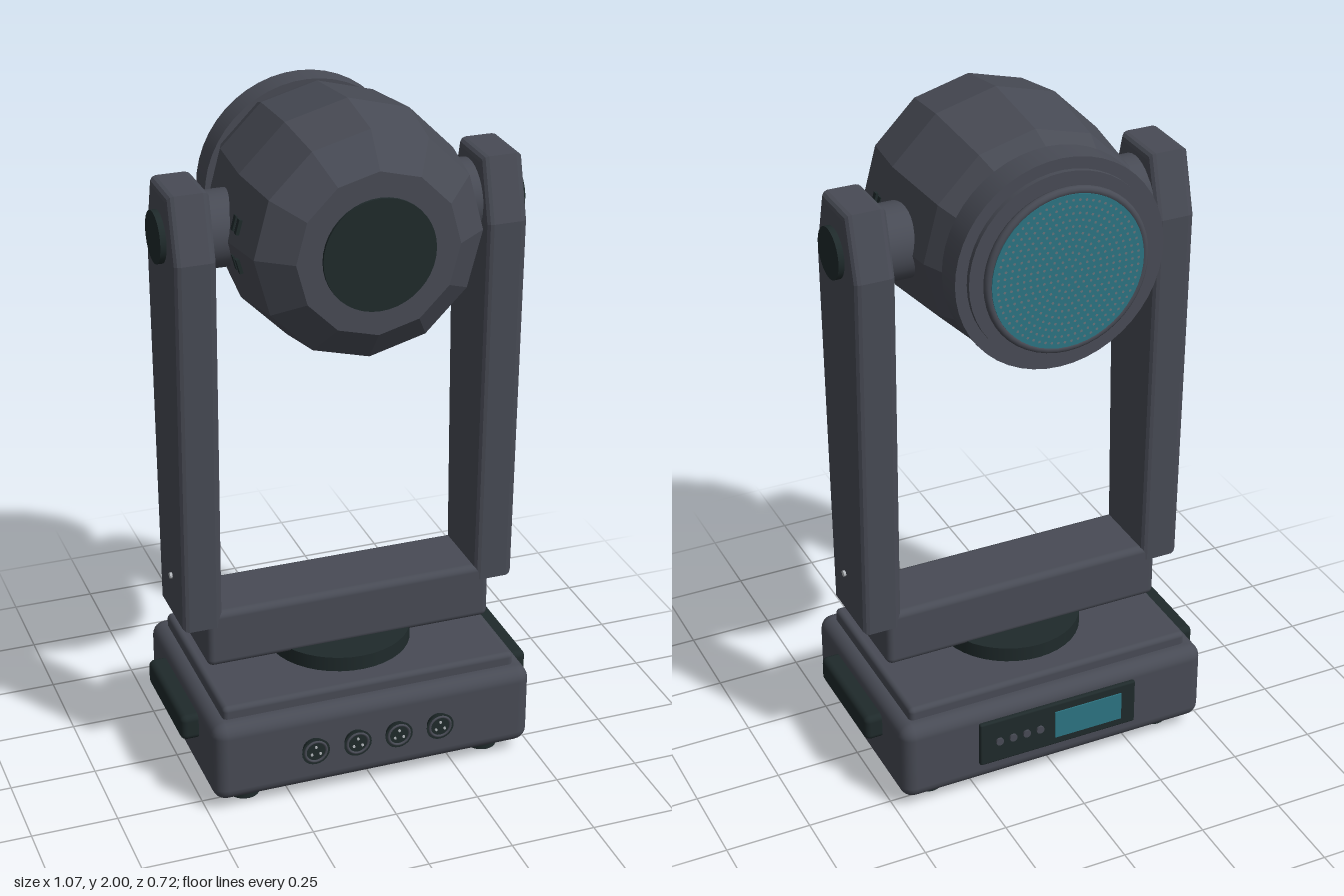
import * as THREE from 'three';
import { RoundedBoxGeometry } from 'three/addons/geometries/RoundedBoxGeometry.js';
import { mergeGeometries } from 'three/addons/utils/BufferGeometryUtils.js';

const material = (name, color) => {
  const m = new THREE.MeshStandardMaterial({ color });
  m.name = name;
  return m;
};

export function createModel() {
  const body = material('charcoal housing', 0x484b55);
  const dark = material('dark rubber', 0x1f2a2b);
  const teal = material('teal glass', 0x2c7482);
  const bead = material('lens bead grey', 0x66747c);
  const steel = material('light steel', 0xb4b8bc);

  const root = new THREE.Group();
  root.name = 'movingHeadLight';
  const group = (name) => {
    const g = new THREE.Group();
    g.name = name;
    root.add(g);
    return g;
  };
  const add = (parent, name, geo, mat, x = 0, y = 0, z = 0) => {
    const m = new THREE.Mesh(geo, mat);
    m.name = name;
    m.position.set(x, y, z);
    parent.add(m);
    return m;
  };
  const box = (w, h, d, r) => new RoundedBoxGeometry(w, h, d, 3, r);
  const cylY = (r, h, n = 32) => new THREE.CylinderGeometry(r, r, h, n);
  const cylX = (r, h, n = 32) => cylY(r, h, n).rotateZ(Math.PI / 2);
  const cylZ = (r, h, n = 32, r2 = r) =>
    new THREE.CylinderGeometry(r, r2, h, n).rotateX(Math.PI / 2);

  // Base with stepped lid, feet and side handles
  const base = group('base');
  add(base, 'baseBody', box(0.966, 0.25, 0.655, 0.04), body, 0, 0.16, 0.008);
  add(base, 'baseLid', box(0.885, 0.07, 0.565, 0.015), body, 0, 0.287, 0.008);
  add(base, 'turntable', cylY(0.212, 0.05, 40), dark, 0, 0.342, 0.012);
  for (const x of [-0.37, 0.37]) {
    for (const z of [-0.215, 0.237]) add(base, 'foot', cylY(0.045, 0.045, 24), dark, x, 0.0225, z);
  }
  for (const s of [-1, 1]) {
    add(base, 'sideHandle', box(0.065, 0.08, 0.345, 0.018), dark, s * 0.502, 0.204, 0.008);
  }

  // Row of flared sockets on the front, each with three pins
  for (const x of [-0.19, -0.063, 0.063, 0.19]) {
    const socket = new THREE.Group();
    socket.name = 'socket';
    socket.position.set(x, 0.164, 0.335);
    base.add(socket);
    add(socket, 'socketShell', cylZ(0.042, 0.024, 24, 0.032), dark, 0, 0, 0.008);
    add(socket, 'socketRim', new THREE.TorusGeometry(0.032, 0.004, 6, 24), body, 0, 0, 0.02);
    for (let i = 0; i < 3; i++) {
      const a = Math.PI / 2 + (i * Math.PI * 2) / 3;
      add(socket, 'socketPin', cylZ(0.004, 0.006, 8), steel, 0.015 * Math.cos(a), 0.015 * Math.sin(a), 0.021);
    }
  }

  // Control panel on the back
  add(base, 'controlPanel', box(0.5, 0.145, 0.016, 0.006), dark, 0, 0.172, -0.324);
  add(base, 'displayScreen', new THREE.BoxGeometry(0.215, 0.09, 0.006), teal, -0.095, 0.172, -0.333);
  for (let i = 0; i < 4; i++) {
    add(base, 'panelButton', cylZ(0.012, 0.008, 16), body, 0.19 - i * 0.043, 0.172, -0.334);
  }

  // Yoke: crossbar and two tapered arms
  const yoke = group('yoke');
  add(yoke, 'crossbar', box(0.865, 0.175, 0.22, 0.02), body, 0, 0.443, 0.012);
  const profile = new THREE.Shape(
    [[0.123, 0.485], [0.148, 1.61], [0.097, 1.79], [-0.073, 1.79], [-0.124, 1.61], [-0.099, 0.485]]
      .map(([z, y]) => new THREE.Vector2(z, y)).reverse());
  const armGeo = new THREE.ExtrudeGeometry(profile, {
    depth: 0.08, bevelThickness: 0.02, bevelSize: 0.02, bevelOffset: -0.02, bevelSegments: 3,
  }).translate(0, 0, -0.04).rotateY(-Math.PI / 2);
  for (const s of [-1, 1]) {
    add(yoke, 'arm', armGeo, body, s * 0.445);
    add(yoke, 'pivotCap', cylX(0.073, 0.03), dark, s * 0.507, 1.65, 0.012);
    add(yoke, 'armScrew', cylX(0.009, 0.012, 12), steel, s * 0.506, 0.625, 0.027);
    add(yoke, 'tiltAxle', cylX(0.106, 0.13), body, s * 0.335, 1.65, 0.007);
  }

  // Twelve-sided faceted head, axis along z
  const head = group('head');
  head.position.y = 1.65;
  const shell = new THREE.LatheGeometry(
    [[0, -0.24], [0.288, -0.24], [0.322, -0.155], [0.35, 0.085], [0.322, 0.26], [0.23, 0.33], [0, 0.33]]
      .map(([r, z]) => new THREE.Vector2(r, z)), 12)
    .rotateX(Math.PI / 2).toNonIndexed();
  shell.computeVertexNormals();
  add(head, 'headShell', shell, body);
  add(head, 'rearCap', cylZ(0.158, 0.012, 40), dark, 0, 0, 0.332);

  // Cooling slots next to the axle
  for (const s of [-1, 1]) {
    for (const y of [-0.055, 0.055]) {
      for (const z of [0.122, 0.152]) {
        const slot = add(head, 'coolingSlot', new THREE.BoxGeometry(0.012, 0.042, 0.016), dark, s * 0.327, y, z);
        slot.rotation.z = s * Math.sign(y) * 0.26;
      }
    }
  }

  // Lens end: collar, step, rim and beaded lens
  add(head, 'lensCollar', cylZ(0.303, 0.082, 48), body, 0, 0, -0.27);
  add(head, 'lensStep', cylZ(0.27, 0.02, 48), body, 0, 0, -0.315);
  add(head, 'lensRim', new THREE.TorusGeometry(0.226, 0.012, 10, 48), body, 0, 0, -0.345);
  add(head, 'lens', cylZ(0.22, 0.012, 48), teal, 0, 0, -0.351);
  const beads = [];
  for (let ring = 1; ring <= 11; ring++) {
    const r = ring * 0.0185;
    const count = ring * 6;
    for (let i = 0; i < count; i++) {
      const a = (i / count) * Math.PI * 2;
      beads.push(new THREE.CircleGeometry(0.0042, 6).rotateY(Math.PI)
        .translate(r * Math.cos(a), r * Math.sin(a), -0.3585));
    }
  }
  add(head, 'lensBeads', mergeGeometries(beads), bead);

  return root;
}
